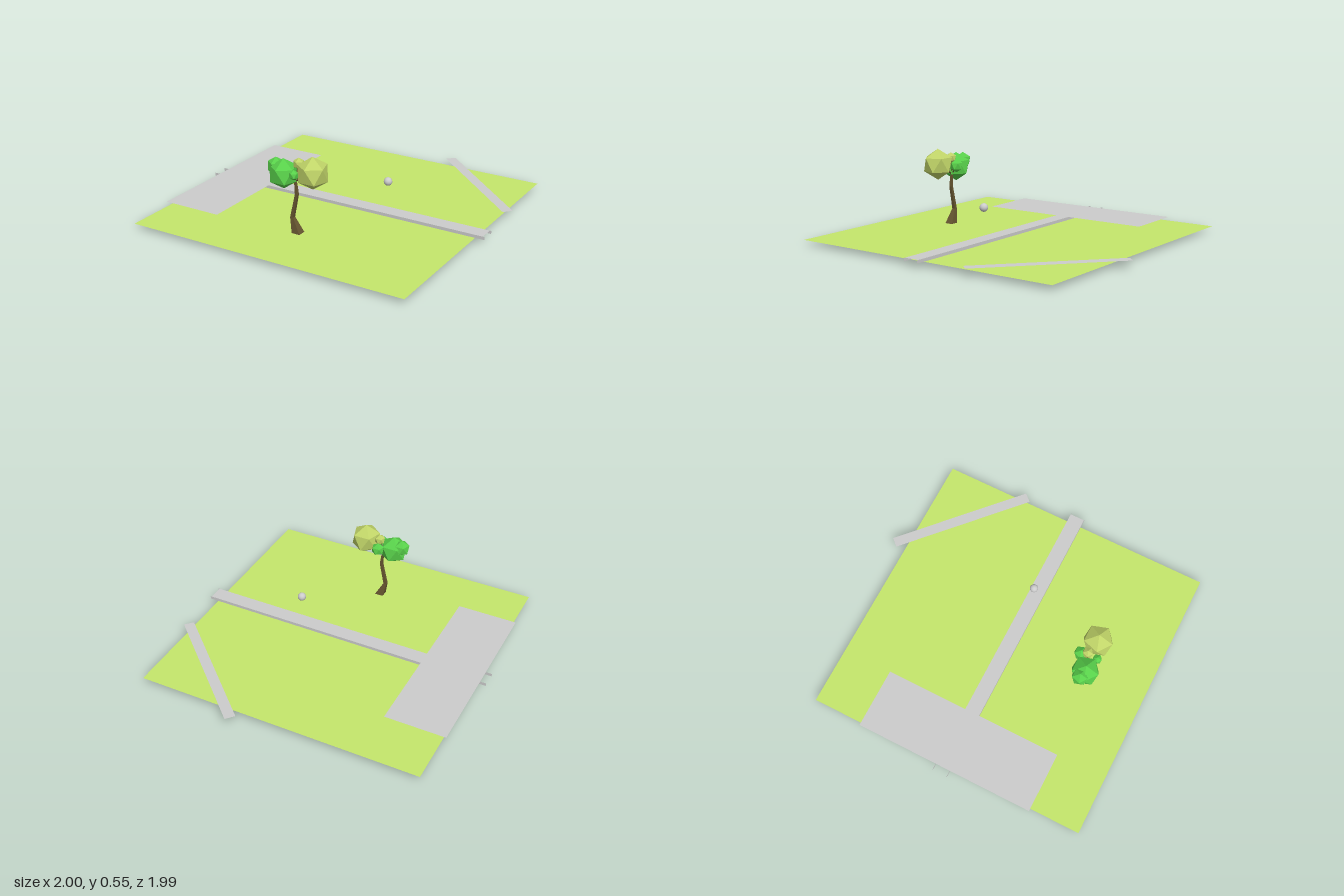
import * as THREE from 'three';

const mat = (color, extra = {}) => new THREE.MeshStandardMaterial({ color, ...extra });
const grey = mat(0xcccccc, { side: THREE.DoubleSide });
const grass = mat(0xc4e66b, { side: THREE.DoubleSide });
const bark = mat(0x665530, { flatShading: true });
const green = mat(0x58d04a, { flatShading: true });
const olive = mat(0xc0d468, { flatShading: true });

const GROUND_Y = 0.035;
const PAVED_Y = 0.055;

function add(parent, name, geometry, material, x = 0, y = 0, z = 0) {
  const mesh = new THREE.Mesh(geometry, material);
  mesh.name = name;
  mesh.position.set(x, y, z);
  parent.add(mesh);
  return mesh;
}

// Flat horizontal sheet of the given width (x) and depth (z)
function sheet(parent, name, w, d, material, x, y, z) {
  return add(parent, name, new THREE.PlaneGeometry(w, d).rotateX(-Math.PI / 2), material, x, y, z);
}

// Icosahedron standing on one of its corners
function leafBall(r) {
  return new THREE.IcosahedronGeometry(r, 0)
    .rotateZ(Math.atan2(2, 1 + Math.sqrt(5)))
    .rotateY(Math.PI / 2);
}

// Square trunk whose rows follow a bent, tapering path
function trunkGeometry() {
  const rows = [ // x, y, half width, tilt
    [-0.003, 0.014, 0.03, 0.32],
    [-0.045, 0.13, 0.011, 0.05],
    [-0.011, 0.285, 0.009, -0.05],
    [-0.02, 0.375, 0.006, 0],
  ];
  const geo = new THREE.BoxGeometry(2, 3, 2, 1, 3, 1);
  const p = geo.attributes.position;
  for (let i = 0; i < p.count; i++) {
    const [x, y, half, tilt] = rows[Math.round(p.getY(i) + 1.5)];
    const s = p.getX(i) * half;
    p.setXYZ(i, x + s * Math.cos(tilt), y + s * Math.sin(tilt), p.getZ(i) * half);
  }
  geo.computeVertexNormals();
  return geo;
}

// Thin four-sided branch between two points
function branch(parent, from, to) {
  const a = new THREE.Vector3(...from), b = new THREE.Vector3(...to);
  const dir = b.clone().sub(a);
  const mesh = add(parent, 'branch', new THREE.CylinderGeometry(0.004, 0.006, dir.length(), 4), bark);
  mesh.position.copy(a).add(b).multiplyScalar(0.5);
  mesh.quaternion.setFromUnitVectors(new THREE.Vector3(0, 1, 0), dir.normalize());
}

export function createModel() {
  const model = new THREE.Group();
  model.name = 'park';

  // Lawn and paved areas
  sheet(model, 'lawn', 1.88, 1.88, grass, 0, GROUND_Y, 0.05);
  sheet(model, 'plaza', 0.4, 1.21, grey, -0.76, PAVED_Y, 0.053);
  sheet(model, 'mainPath', 1.55, 0.1, grey, 0.215, PAVED_Y, 0.05);
  sheet(model, 'diagonalPath', 0.966, 0.068, grey, 0.613, PAVED_Y, -0.645).rotation.y = -0.742;

  // Upright kerbs on both sides of the main path
  for (const z of [0, 0.1]) {
    add(model, 'kerb', new THREE.PlaneGeometry(2, 0.02), grey, 0, 0.045, z);
  }

  // Floating ball
  add(model, 'ball', new THREE.SphereGeometry(0.027, 16, 12), grey, 0.315, 0.25, 0.05);

  // Tree
  const tree = new THREE.Group();
  tree.name = 'tree';
  model.add(tree);
  add(tree, 'trunk', trunkGeometry(), bark, 0, 0, 0.58);
  const top = [-0.02, 0.37, 0.58];
  const foliage = [ // x, y, z, radius, material
    [0.11, 0.448, 0.59, 0.103, olive],
    [-0.09, 0.41, 0.6, 0.096, green],
    [-0.15, 0.445, 0.59, 0.056, green],
    [-0.005, 0.43, 0.527, 0.045, green],
    [0, 0.48, 0.57, 0.037, olive],
    [0.005, 0.43, 0.635, 0.032, green],
  ];
  for (const [x, y, z, r, material] of foliage) {
    add(tree, 'foliage', leafBall(r), material, x, y, z);
    branch(tree, top, [x, y, z]);
  }
  return model;
}
